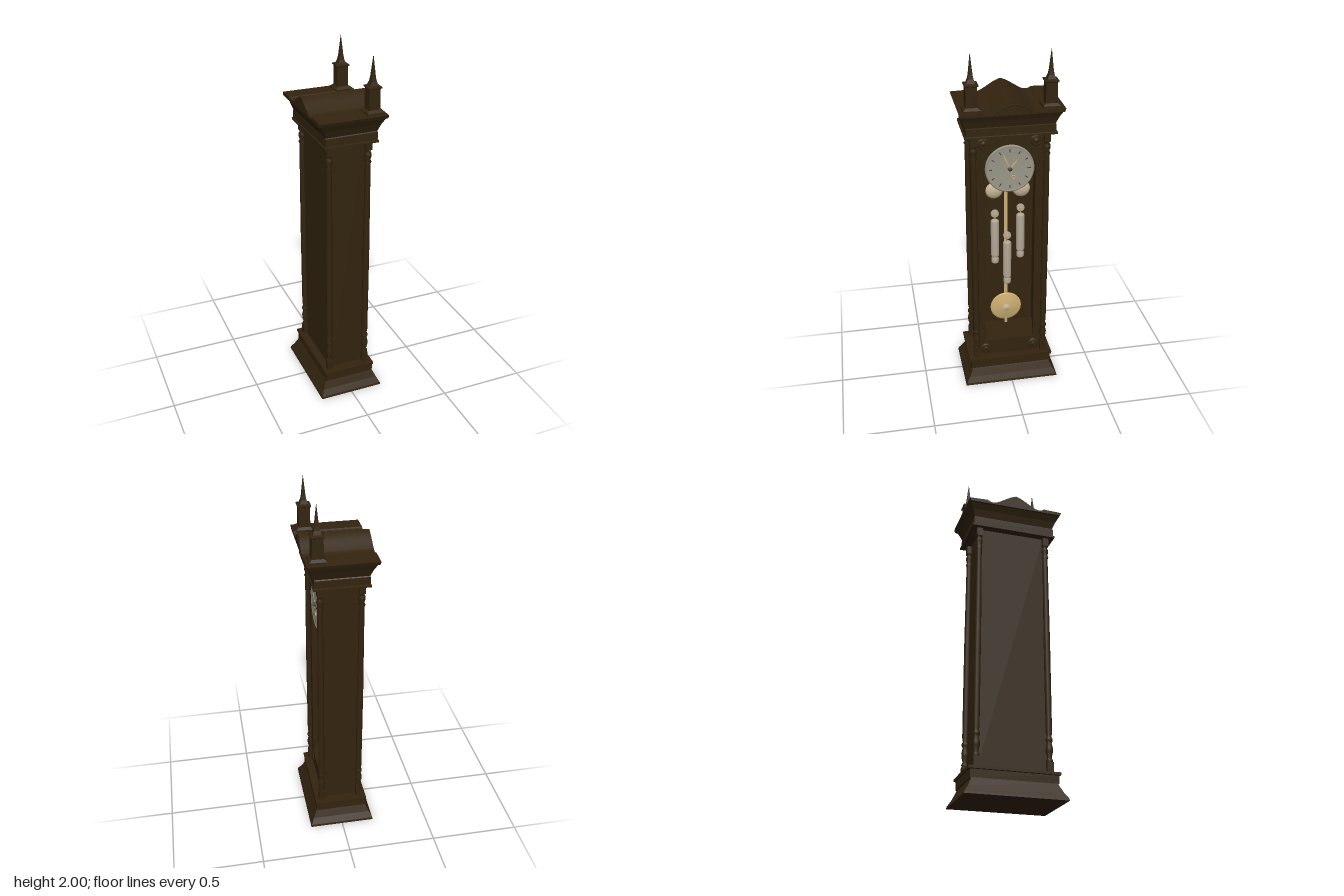
import * as THREE from 'three';

const mat = (name, color) => {
  const m = new THREE.MeshStandardMaterial({ color });
  m.name = name;
  return m;
};

export function createModel() {
  const wood = mat('dark wood', 0x33240f);
  const silver = mat('dial silver', 0x9a9688);
  const steel = mat('weight metal', 0xb5aa98);
  const brass = mat('brass', 0xcdae72);
  const bell = mat('pale brass', 0xc8b596);
  const dark = mat('dial marks', 0x4a463c);

  const model = new THREE.Group();
  model.name = 'longcaseClock';
  // Built facing +z, then turned so that the dial faces +x
  const clock = new THREE.Group();
  clock.name = 'clock';
  clock.rotation.y = Math.PI / 2;
  model.add(clock);

  const add = (name, geo, material, x = 0, y = 0, z = 0, parent = clock) => {
    const mesh = new THREE.Mesh(geo, material);
    mesh.name = name;
    mesh.position.set(x, y, z);
    parent.add(mesh);
    return mesh;
  };
  const box = (name, w, h, d, x, y, z, m = wood, parent = clock) =>
    add(name, new THREE.BoxGeometry(w, h, d), m, x, y, z, parent);

  // Stacked rectangular sections [y, half width, half depth], flat-sided and capped
  function rectLoft(sections) {
    const rings = sections.map(([y, w, d]) => [[-w, y, d], [w, y, d], [w, y, -d], [-w, y, -d]]);
    const pos = [];
    const quad = (a, b, c, d) => pos.push(...a, ...b, ...c, ...a, ...c, ...d);
    for (let i = 0; i < rings.length - 1; i++) {
      const p = rings[i], q = rings[i + 1];
      for (let k = 0; k < 4; k++) quad(p[k], p[(k + 1) % 4], q[(k + 1) % 4], q[k]);
    }
    const t = rings[rings.length - 1], b = rings[0];
    quad(...t);
    quad(b[3], b[2], b[1], b[0]);
    const g = new THREE.BufferGeometry();
    g.setAttribute('position', new THREE.Float32BufferAttribute(pos, 3));
    g.computeVertexNormals();
    return g;
  }
  const lathe = (pts, seg = 20) =>
    new THREE.LatheGeometry(pts.map(([r, y]) => new THREE.Vector2(r, y)), seg);
  // Disc profile turned to face the front
  const facing = (pts, seg = 32) => lathe(pts, seg).rotateX(Math.PI / 2);

  // Plinth with a flared skirt
  add('plinth', rectLoft([
    [0, 0.275, 0.187], [0.012, 0.272, 0.184], [0.045, 0.25, 0.167], [0.088, 0.23, 0.148],
    [0.092, 0.236, 0.146], [0.135, 0.236, 0.146], [0.138, 0.246, 0.15], [0.152, 0.246, 0.15],
  ]), wood);

  // Hollow case
  const lo = 0.15, hi = 1.56, mid = (lo + hi) / 2, tall = hi - lo;
  for (const s of [-1, 1]) box('caseSide', 0.02, tall, 0.18, s * 0.18, mid, 0);
  box('caseBack', 0.38, tall, 0.015, 0, mid, -0.0975);
  box('caseFloor', 0.34, 0.1, 0.18, 0, 0.2, 0);

  // Front frame with an arched opening
  const frame = new THREE.Shape();
  frame.moveTo(-0.19, lo).lineTo(0.19, lo).lineTo(0.19, hi).lineTo(-0.19, hi).closePath();
  const opening = new THREE.Path();
  opening.moveTo(-0.14, 0.25).lineTo(-0.14, 1.35);
  opening.absarc(0, 1.35, 0.14, Math.PI, 0, true);
  opening.lineTo(0.14, 0.25).closePath();
  frame.holes.push(opening);
  add('frontFrame', new THREE.ExtrudeGeometry(frame, { depth: 0.018, bevelEnabled: false, curveSegments: 24 }),
    wood, 0, 0, 0.085);

  // Corner rosettes on the frame
  for (const x of [-0.142, 0.142]) for (const y of [0.197, 1.505]) {
    add('rosette', facing([[0, 0.012], [0.01, 0.011], [0.014, 0.004], [0.022, 0.008], [0.03, 0.006], [0.033, 0]].reverse(), 20),
      wood, x, y, 0.102);
  }

  // Turned corner columns
  const columnProfile = [
    [0.016, 0.21], [0.019, 0.22], [0.012, 0.235], [0.019, 0.265], [0.02, 0.285], [0.013, 0.315],
    [0.019, 0.325], [0.019, 0.335], [0.013, 0.35], [0.017, 0.37], [0.018, 0.9], [0.015, 1.42],
    [0.02, 1.43], [0.013, 1.442], [0.02, 1.465], [0.018, 1.48], [0.012, 1.49], [0.019, 1.5],
  ];
  for (const x of [-0.198, 0.198]) for (const z of [-0.11, 0.11]) {
    const column = new THREE.Group();
    column.name = 'cornerColumn';
    column.position.set(x, 0, z);
    clock.add(column);
    add('columnShaft', lathe(columnProfile, 14), wood, 0, 0, 0, column);
    box('columnFoot', 0.034, 0.06, 0.034, 0, 0.18, 0, wood, column);
    box('columnCapital', 0.034, 0.052, 0.034, 0, 1.526, 0, wood, column);
  }

  // Cornice
  add('cornice', rectLoft([
    [1.55, 0.246, 0.15], [1.56, 0.246, 0.15], [1.563, 0.238, 0.145], [1.605, 0.238, 0.145],
    [1.61, 0.234, 0.144], [1.65, 0.25, 0.158], [1.688, 0.27, 0.177],
  ]), wood);

  // Roof with a swept pediment
  const roof = new THREE.Shape();
  roof.moveTo(-0.27, 1.684).lineTo(0.27, 1.684).lineTo(0.277, 1.702).lineTo(0.17, 1.706);
  roof.quadraticCurveTo(0.145, 1.685, 0.11, 1.702);
  roof.bezierCurveTo(0.06, 1.73, 0.04, 1.75, 0, 1.762);
  roof.bezierCurveTo(-0.04, 1.75, -0.06, 1.73, -0.11, 1.702);
  roof.quadraticCurveTo(-0.145, 1.685, -0.17, 1.706);
  roof.lineTo(-0.277, 1.702).closePath();
  add('roof', new THREE.ExtrudeGeometry(roof, { depth: 0.374, bevelEnabled: false, curveSegments: 8 }),
    wood, 0, 0, -0.187);
  const arch = new THREE.QuadraticBezierCurve3(
    new THREE.Vector3(-0.1, 1.693, 0.186), new THREE.Vector3(0, 1.785, 0.186), new THREE.Vector3(0.1, 1.693, 0.186));
  add('pedimentMoulding', new THREE.TubeGeometry(arch, 16, 0.004, 6), wood);

  // Square spires
  for (const x of [-0.207, 0.207]) {
    add('spire', rectLoft([
      [1.69, 0.046, 0.046], [1.712, 0.046, 0.046], [1.724, 0.031, 0.031], [1.832, 0.03, 0.03],
      [1.836, 0.036, 0.036], [1.843, 0.036, 0.036], [1.848, 0.022, 0.022], [1.868, 0.015, 0.015],
      [1.89, 0.011, 0.011], [2, 0.0005, 0.0005],
    ]), wood, x, 0, 0.125);
  }

  // Dial, bezel and movement
  box('movement', 0.17, 0.17, 0.13, 0, 1.35, 0.02);
  add('dial', facing([[0, -0.02], [0.128, -0.02], [0.134, -0.014], [0.134, 0.004], [0.126, 0.006], [0.122, 0], [0, 0]], 40),
    silver, 0, 1.35, 0.1);
  for (let i = 0; i < 12; i++) {
    const a = i * Math.PI / 6;
    const tick = box('hourMark', 0.005, 0.018, 0.002, Math.sin(a) * 0.105, 1.35 + Math.cos(a) * 0.105, 0.101, dark);
    tick.rotation.z = -a;
  }
  const hand = (name, length, width, angle, z) => {
    const s = new THREE.Shape();
    s.moveTo(-width / 2, -0.02).lineTo(width / 2, -0.02).lineTo(width, length * 0.6).lineTo(0, length).lineTo(-width, length * 0.6).closePath();
    const g = new THREE.ExtrudeGeometry(s, { depth: 0.002, bevelEnabled: false });
    add(name, g, brass, 0, 1.35, z).rotation.z = angle;
  };
  hand('minuteHand', 0.11, 0.004, 0.4, 0.106);
  hand('hourHand', 0.065, 0.005, -0.65, 0.103);
  add('handBoss', facing([[0.012, 0], [0.012, 0.01], [0, 0.012]], 16), dark, 0, 1.35, 0.1);
  add('secondsRing', new THREE.TorusGeometry(0.011, 0.003, 6, 16), brass, 0.02, 1.3, 0.103);

  // Round bells below the dial
  for (const s of [-1, 1]) {
    const g = facing([[0.03, -0.02], [0.048, -0.004], [0.048, 0.002], [0.038, 0.011], [0.02, 0.017], [0, 0.019]], 24);
    add('bell', g, bell, s * 0.076, 1.2, 0.04);
  }

  // Pendulum
  box('pendulumRod', 0.02, 0.78, 0.006, 0, 0.85, -0.02, brass);
  add('pendulumBob', facing([[0, -0.018], [0.06, -0.014], [0.092, -0.003], [0.092, 0.003], [0.08, 0.006], [0.076, 0.005], [0.045, 0.015], [0, 0.019]], 32),
    brass, 0, 0.4, -0.02);
  add('bobBoss', facing([[0.022, 0], [0.022, 0.005], [0, 0.009]], 16), bell, 0, 0.4, -0.002);
  add('ratingNut', new THREE.CylinderGeometry(0.009, 0.009, 0.03, 12), steel, 0, 0.3, -0.02);

  // Three hanging weights with pulleys and cords
  for (const [x, bottom, top] of [[-0.07, 0.735, 1.01], [0, 0.59, 0.865], [0.076, 0.76, 1.035]]) {
    const weight = new THREE.Group();
    weight.name = 'hangingWeight';
    weight.position.set(x, 0, 0.022);
    clock.add(weight);
    const h = top - bottom;
    add('weightBody', lathe([
      [0, 0], [0.018, 0], [0.022, 0.006], [0.022, 0.03], [0.018, 0.036], [0.018, 0.044], [0.024, 0.05],
      [0.024, h - 0.008], [0.018, h - 0.002], [0, h],
    ]), steel, 0, bottom, 0, weight);
    add('pulley', facing([[0, -0.007], [0.02, -0.007], [0.023, -0.005], [0.02, 0], [0.023, 0.005], [0.02, 0.007], [0, 0.007]], 20),
      steel, 0, top + 0.038, 0, weight);
    add('pulleyBoss', facing([[0.008, 0.007], [0.008, 0.01], [0, 0.01]], 12), brass, 0, top + 0.038, 0, weight);
    box('pulleyHook', 0.005, 0.025, 0.005, 0, top + 0.009, 0, brass, weight);
  }

  return model;
}
